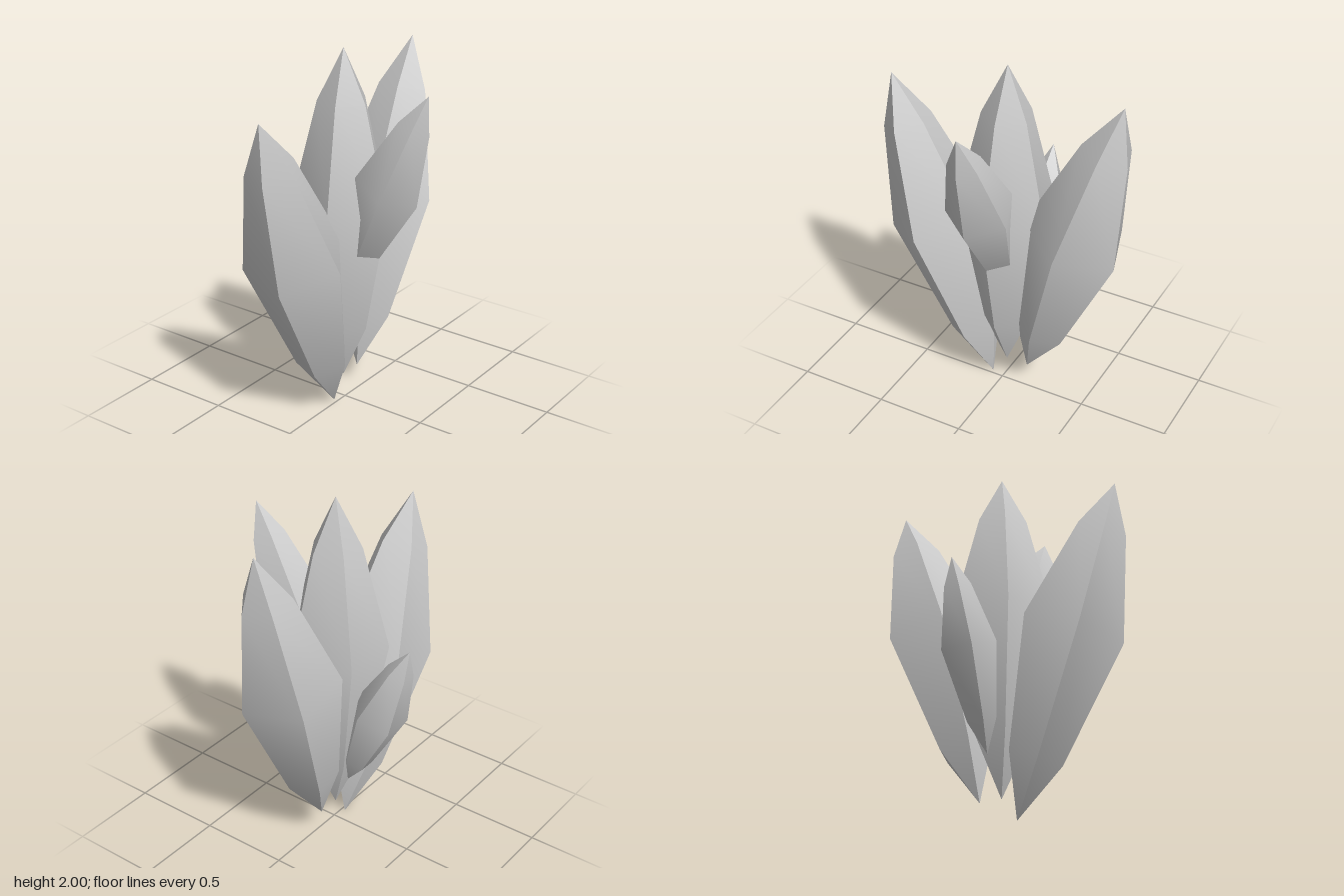
import * as THREE from 'three';
import { toCreasedNormals } from 'three/addons/utils/BufferGeometryUtils.js';

const SIDES = 5;
const UP = new THREE.Vector3(0, 1, 0);

// Shared spindle profile: [radius, height], both as fractions of the whole
const PROFILE = [[0, 0], [0.53, 0.172], [1, 0.542], [0.49, 0.85], [0, 1]];

// Five-sided pointed crystal from base point to tip point, one ridge towards +x
function makeCrystal(name, material, radius, base, tip) {
  const foot = new THREE.Vector3(...base);
  const axis = new THREE.Vector3(...tip).sub(foot);
  const length = axis.length();
  const points = PROFILE.map(([r, h]) => new THREE.Vector2(r * radius, h * length));
  const lathe = new THREE.LatheGeometry(points, SIDES, Math.PI / 2);
  // ridges stay sharp, the gentle bends along the length stay smooth
  const crystal = new THREE.Mesh(toCreasedNormals(lathe, Math.PI / 6), material);
  crystal.name = name;
  crystal.position.copy(foot);
  crystal.quaternion.setFromUnitVectors(UP, axis.normalize());
  return crystal;
}

export function createModel() {
  const group = new THREE.Group();
  group.name = 'crystalCluster';
  const material = new THREE.MeshStandardMaterial({ color: 0xcccccc });

  // name, radius, base, tip
  const crystals = [
    ['centerCrystal', 0.28, [-0.023, 0.13, -0.018], [-0.023, 2, -0.018]],
    ['frontCrystal', 0.28, [-0.023, 0.005, 0.07], [-0.023, 1.78, 0.668]],
    ['backCrystal', 0.28, [-0.023, 0.13, -0.145], [-0.023, 1.925, -0.652]],
    ['leftCrystal', 0.184, [0, 0.68, -0.018], [0.492, 1.835, -0.018]],
    ['rightCrystal', 0.151, [-0.127, 0.343, -0.043], [-0.506, 1.295, -0.043]],
  ];
  for (const [name, radius, base, tip] of crystals) {
    group.add(makeCrystal(name, material, radius, base, tip));
  }
  return group;
}
